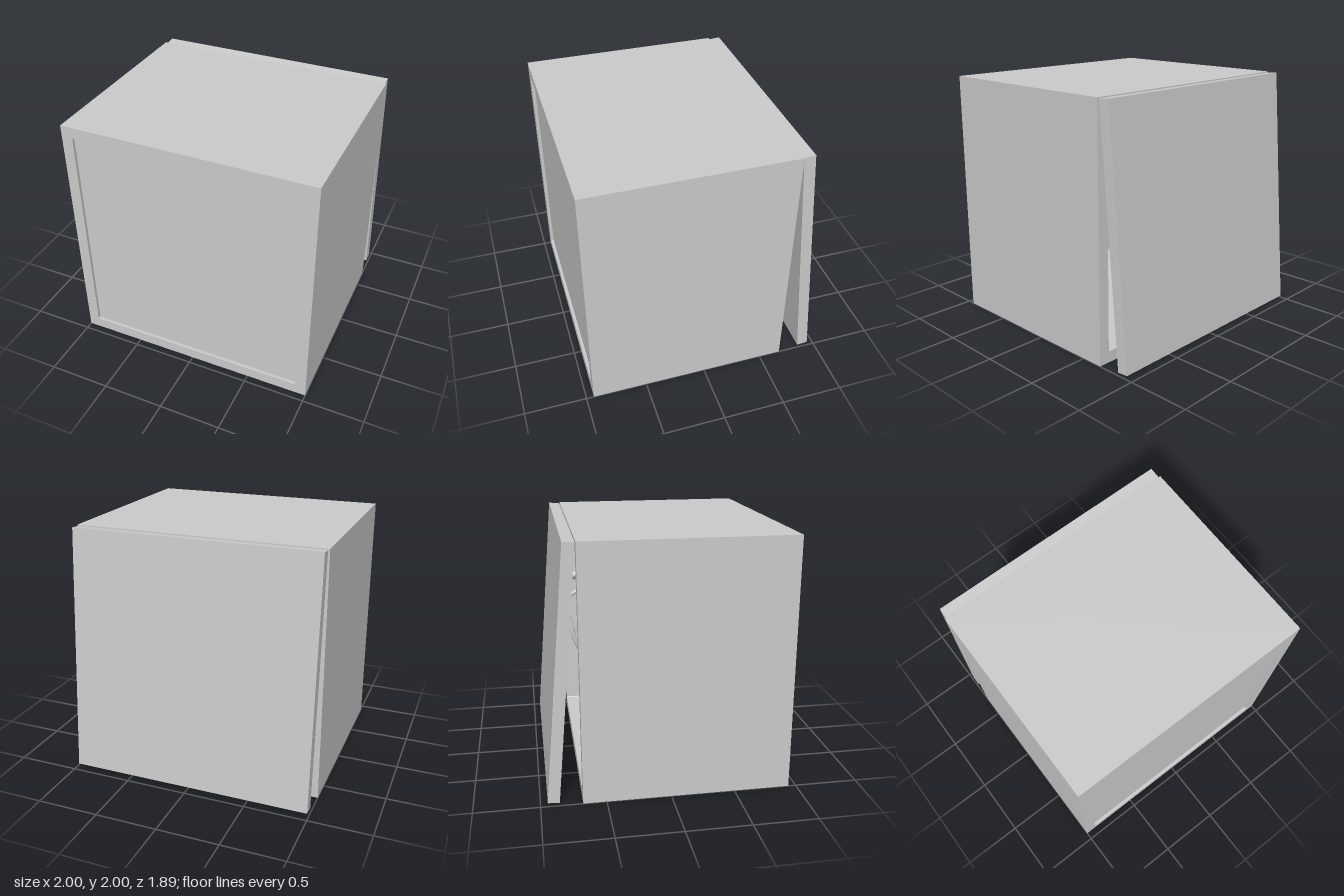
import * as THREE from 'three';

const material = new THREE.MeshStandardMaterial({ color: 0xcccccc });

function addMesh(parent, name, geometry, x = 0, y = 0, z = 0) {
  const mesh = new THREE.Mesh(geometry, material);
  mesh.name = name;
  mesh.position.set(x, y, z);
  parent.add(mesh);
  return mesh;
}

// Rectangle centred on the origin with slightly rounded corners
function roundedRect(path, half, r) {
  path.moveTo(half - r, -half);
  path.absarc(half - r, -half + r, r, -Math.PI / 2, 0);
  path.absarc(half - r, half - r, r, 0, Math.PI / 2);
  path.absarc(-half + r, half - r, r, Math.PI / 2, Math.PI);
  path.absarc(-half + r, -half + r, r, Math.PI, Math.PI * 1.5);
  path.closePath();
  return path;
}

export function createModel() {
  const model = new THREE.Group();
  model.name = 'cabinet';

  // Square cabinet walls, open through from front to back
  const wall = new THREE.Shape();
  wall.moveTo(-1, -1).lineTo(1, -1).lineTo(1, 1).lineTo(-1, 1).closePath();
  wall.holes.push(roundedRect(new THREE.Path(), 0.91, 0.01));
  const walls = new THREE.ExtrudeGeometry(wall, { depth: 1.62, bevelEnabled: false, curveSegments: 4 });
  addMesh(model, 'cabinetWalls', walls, 0, 1, -0.68);

  // Front panel set slightly back inside the frame
  addMesh(model, 'frontPanel', new THREE.BoxGeometry(1.82, 1.82, 0.03), 0, 1, 0.9);

  // Rear door hinged along its top inner edge, hanging ajar
  const hinge = new THREE.Group();
  hinge.name = 'rearDoorHinge';
  hinge.position.set(0, 1.992, -0.685);
  hinge.rotation.x = 0.086;
  addMesh(hinge, 'rearDoor', new THREE.BoxGeometry(1.975, 1.985, 0.09), 0, -0.9925, -0.045);
  model.add(hinge);

  // Slack cables just showing past the rear opening
  for (const side of [-1, 1]) {
    const path = new THREE.CatmullRomCurve3([
      new THREE.Vector3(side * 0.2, 1.5, -0.5),
      new THREE.Vector3(side * 0.24, 1.42, -0.685),
      new THREE.Vector3(side * 0.3, 1.15, -0.68),
      new THREE.Vector3(side * 0.3, 0.94, -0.6),
    ]);
    addMesh(model, 'cable', new THREE.TubeGeometry(path, 20, 0.015, 8));
  }

  // Short round stay between the cabinet and the door
  const stay = addMesh(model, 'doorStay', new THREE.CylinderGeometry(0.03, 0.03, 0.2, 12), 0, 1.54, -0.62);
  stay.rotation.x = Math.PI / 2;

  return model;
}
